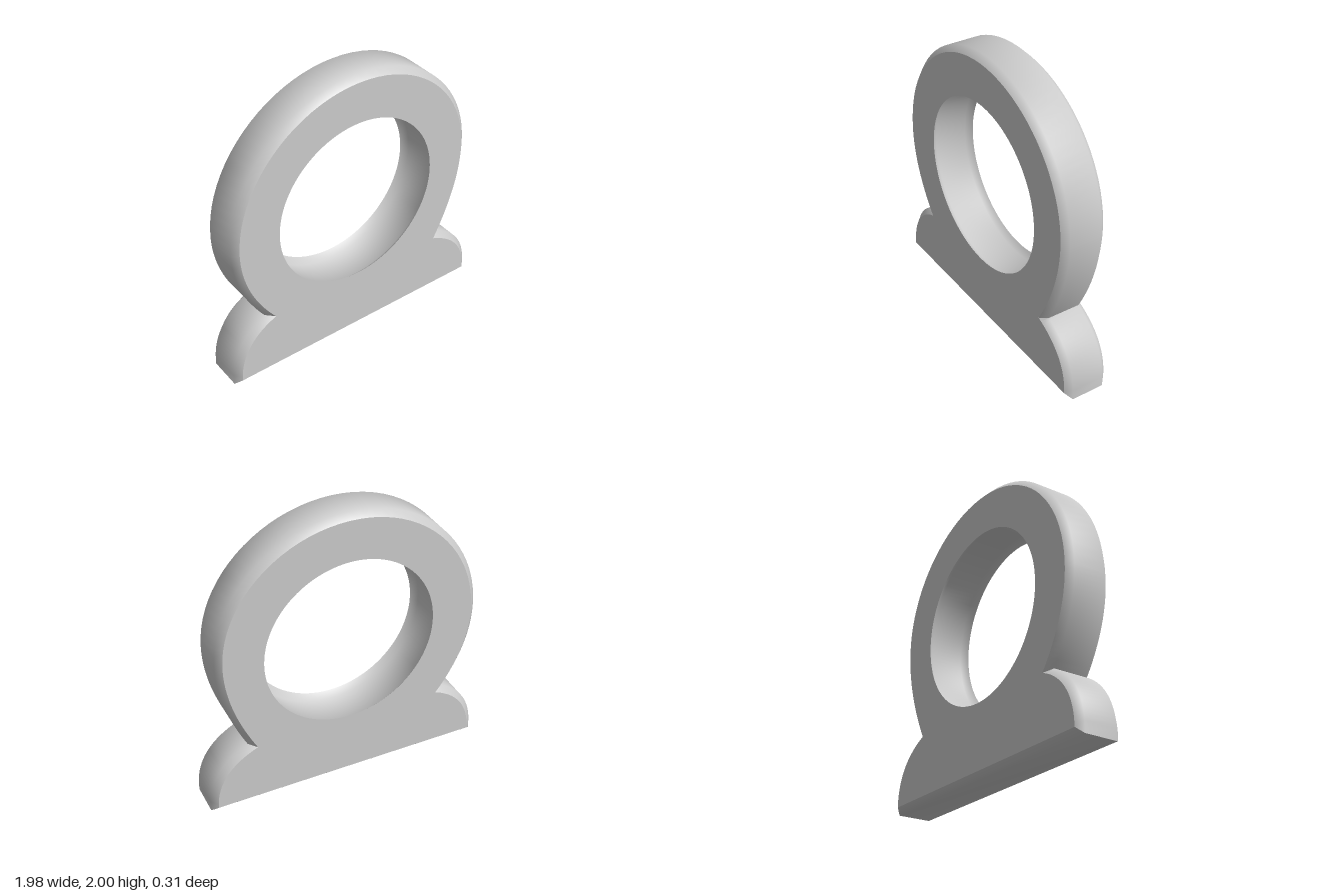
import * as THREE from 'three';
import { toCreasedNormals } from 'three/addons/utils/BufferGeometryUtils.js';

const HALF_DEPTH = 0.155;
const BEVEL = 0.04;
const material = new THREE.MeshStandardMaterial({ color: 0xcccccc });

// Outline of the flat faces, counter-clockwise from the left base corner
function faceOutline() {
  const s = new THREE.Shape();
  s.moveTo(-0.95, 0.04);
  s.lineTo(0.945, 0.04);
  s.bezierCurveTo(0.945, 0.25, 0.83, 0.38, 0.648, 0.453); // left foot
  s.bezierCurveTo(0.76, 0.66, 0.85, 0.9, 0.85, 1.14); // ring, up and round
  s.bezierCurveTo(0.85, 1.6, 0.46, 1.962, -0.01, 1.962);
  s.bezierCurveTo(-0.5, 1.962, -0.905, 1.56, -0.905, 1.07);
  s.bezierCurveTo(-0.905, 0.84, -0.81, 0.63, -0.67, 0.455);
  s.bezierCurveTo(-0.84, 0.39, -0.95, 0.25, -0.95, 0.04); // right foot
  return dropRepeats(s.getPoints(20));
}

function dropRepeats(points) {
  return points.filter((p, i) => p.distanceTo(points[(i + 1) % points.length]) > 1e-5);
}

// Mitred offset, outward for a counter-clockwise loop
function offset(points, d) {
  const n = points.length;
  return points.map((p, i) => {
    const a = p.clone().sub(points[(i + n - 1) % n]).normalize();
    const b = points[(i + 1) % n].clone().sub(p).normalize();
    const na = new THREE.Vector2(a.y, -a.x);
    const nb = new THREE.Vector2(b.y, -b.x);
    const k = d / (1 + na.dot(nb));
    return p.clone().addScaledVector(na.add(nb), k);
  });
}

// Chamfered wall joining the front loop to the back loop
function wallGeometry(faceLoop, middleLoop) {
  const n = faceLoop.length;
  const inset = HALF_DEPTH - BEVEL;
  const rings = [
    [faceLoop, HALF_DEPTH], [middleLoop, inset],
    [middleLoop, -inset], [faceLoop, -HALF_DEPTH],
  ];
  const positions = [];
  const index = [];
  for (const [loop, z] of rings) for (const p of loop) positions.push(p.x, p.y, z);
  for (let r = 0; r < rings.length - 1; r++) {
    for (let i = 0; i < n; i++) {
      const j = (i + 1) % n;
      const a = r * n + i, b = r * n + j;
      index.push(a, a + n, b + n, a, b + n, b);
    }
  }
  const g = new THREE.BufferGeometry();
  g.setAttribute('position', new THREE.Float32BufferAttribute(positions, 3));
  g.setIndex(index);
  return toCreasedNormals(g, THREE.MathUtils.degToRad(50));
}

export function createModel() {
  const model = new THREE.Group();
  const add = (name, geometry) => {
    const mesh = new THREE.Mesh(geometry, material);
    mesh.name = name;
    model.add(mesh);
    return mesh;
  };

  const circle = (r) => dropRepeats(
    new THREE.Path().absarc(-0.018, 1.08, r, 0, Math.PI * 2, true).getPoints(72));
  const outline = faceOutline();
  const hole = circle(0.597);

  // Outer rim, and the bore that widens behind each face
  add('outerRim', wallGeometry(outline, offset(outline, BEVEL)));
  add('bore', wallGeometry(hole, circle(0.597 + BEVEL)));

  // Flat faces
  const shape = new THREE.Shape(outline);
  shape.holes.push(new THREE.Path(hole));
  const face = new THREE.ShapeGeometry(shape);
  add('frontFace', face).position.z = HALF_DEPTH;

  // Back face: same outline with reversed triangles
  const back = face.clone();
  back.setIndex(Array.from(face.index.array).reverse());
  back.computeVertexNormals();
  add('backFace', back).position.z = -HALF_DEPTH;

  return model;
}
